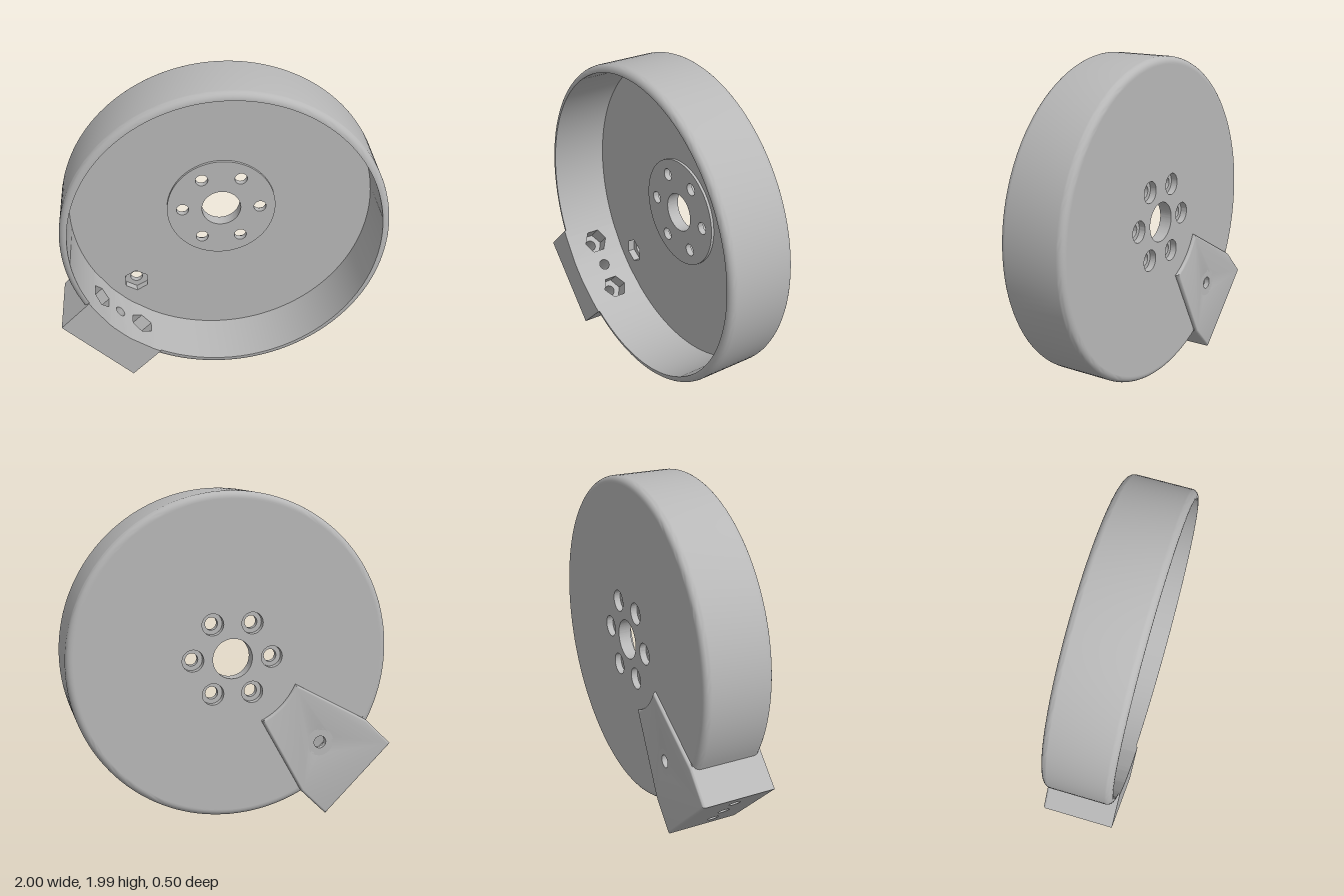
import * as THREE from 'three';
import { toCreasedNormals } from 'three/addons/utils/BufferGeometryUtils.js';

const R_OUT = 0.975, R_IN = 0.93;         // drum wall
const BACK = -0.21, FRONT = 0.21;         // drum faces
const HALF = 0.297, END = 1.138;          // bracket half width and outer end
const NUT = 0.774;                        // radial place of the plate bolt

const grey = new THREE.MeshStandardMaterial({ color: 0xb8b8b8 });
grey.name = 'grey';

function add(parent, name, geometry, crease = 0.5) {
  const mesh = new THREE.Mesh(toCreasedNormals(geometry, crease), grey);
  mesh.name = name;
  parent.add(mesh);
  return mesh;
}

const circle = (x, y, r, P = THREE.Path) => new P().absarc(x, y, r, 0, Math.PI * 2, false);

function hexagon(x, y, r) {
  const points = [];
  for (let i = 0; i < 6; i++) {
    const a = Math.PI / 2 + i * Math.PI / 3;
    points.push(new THREE.Vector2(x + r * Math.cos(a), y + r * Math.sin(a)));
  }
  return new THREE.Path(points);
}

// Round slab between two z levels with holes
function slab(radius, z0, z1, holes) {
  const shape = circle(0, 0, radius, THREE.Shape);
  shape.holes.push(...holes);
  const g = new THREE.ExtrudeGeometry(shape, { depth: z1 - z0, bevelEnabled: false, curveSegments: 64 });
  return g.translate(0, 0, z0);
}

const boltRing = (r) => Array.from({ length: 6 }, (_, i) =>
  circle(0.24 * Math.cos(i * Math.PI / 3), 0.24 * Math.sin(i * Math.PI / 3), r));

// Slice of the bracket block, extruded radially; its inner end can follow the drum wall
function slice(t0, t1, y0, y1, curved, hole) {
  const shape = new THREE.Shape([
    new THREE.Vector2(t0, -0.22), new THREE.Vector2(t1, -0.22),
    new THREE.Vector2(t1, 0.212), new THREE.Vector2(t0, 0.212)]);
  if (hole) shape.holes.push(hole);
  const g = new THREE.ExtrudeGeometry(shape, { depth: y1 - y0, bevelEnabled: false, curveSegments: 12 });
  g.rotateX(-Math.PI / 2).translate(0, y0, 0);
  const p = g.attributes.position;
  for (let i = 0; curved && i < p.count; i++) {
    if (p.getY(i) < y0 + 0.001) p.setY(i, Math.sqrt(R_IN * R_IN - p.getX(i) ** 2));
  }
  g.computeVertexNormals();
  return g;
}

function buildDrum() {
  const drum = new THREE.Group();
  drum.name = 'drum';

  // Wall with rounded outer edges, left open where the bracket block passes through
  const profile = [new THREE.Vector2(R_IN, BACK)];
  const fillet = (z, from) => {
    for (let i = 0; i <= 6; i++) {
      const a = from + i * Math.PI / 12;
      profile.push(new THREE.Vector2(R_OUT - 0.04 + 0.04 * Math.cos(a), z + 0.04 * Math.sin(a)));
    }
  };
  fillet(BACK + 0.04, -Math.PI / 2);
  fillet(FRONT - 0.04, 0);
  profile.push(new THREE.Vector2(R_IN, FRONT), new THREE.Vector2(R_IN, -0.16));
  const cut = Math.asin(HALF / R_OUT);
  const wall = new THREE.LatheGeometry(profile, 128, -Math.PI / 4 + cut, Math.PI * 2 - 2 * cut);
  add(drum, 'wall', wall.rotateX(Math.PI / 2), 0.6);

  // Floor: counterbored back layer, front layer and raised hub
  const nutPocket = () => hexagon(-NUT * Math.SQRT1_2, -NUT * Math.SQRT1_2, 0.08);
  const bore = () => circle(0, 0, 0.12);
  add(drum, 'floorBack', slab(0.935, BACK, -0.17, [bore(), ...boltRing(0.065), nutPocket()]));
  add(drum, 'floorFront', slab(0.935, -0.17, -0.15, [bore(), ...boltRing(0.038), nutPocket()]));
  add(drum, 'hub', slab(0.335, -0.15, -0.133, [bore(), ...boltRing(0.038)]));
  return drum;
}

function buildBracket() {
  const bracket = new THREE.Group();      // local y points radially outward
  bracket.name = 'bracket';

  // Block in slices: solid strips, a centre hole and two nut pockets
  for (const [a, b] of [[0.25, HALF], [0.05, 0.09]]) {
    add(bracket, 'blockStrip', slice(a, b, R_IN, END, true));
    add(bracket, 'blockStrip', slice(-b, -a, R_IN, END, true));
  }
  add(bracket, 'blockCentre', slice(-0.05, 0.05, R_IN, END, true, circle(0, -0.02, 0.035)));
  for (const s of [-1, 1]) {
    const t0 = s * 0.17 - 0.08, t1 = s * 0.17 + 0.08;
    add(bracket, 'nutPocket', slice(t0, t1, R_IN, 1.02, true, hexagon(s * 0.17, -0.02, 0.078)));
    add(bracket, 'boltHole', slice(t0, t1, 1.02, END, false, circle(s * 0.17, -0.02, 0.035)));
  }

  // Tapered back plate with soft edges and an arc end around the hub
  const plate = new THREE.Shape();
  plate.moveTo(HALF, END);
  plate.lineTo(-HALF, END);
  plate.lineTo(-HALF, 0.91);
  plate.lineTo(-0.15, 0.4);
  plate.absarc(0, 0, 0.427, Math.atan2(0.4, -0.15), Math.atan2(0.4, 0.15), true);
  plate.lineTo(HALF, 0.91);
  plate.holes.push(circle(0, NUT, 0.06));
  const b = 0.015;
  const g = new THREE.ExtrudeGeometry(plate, {
    depth: 0.005, bevelThickness: b, bevelSize: b, bevelOffset: -b, bevelSegments: 4, curveSegments: 16 });
  add(bracket, 'backPlate', g.translate(0, 0, -0.23 + b));

  // Ring that lines the plate bolt hole
  const ring = slab(0.085, -0.23, -0.195, [circle(0, 0, 0.038)]);
  add(bracket, 'plateBoltHole', ring.translate(0, NUT, 0));

  bracket.rotation.z = Math.PI * 0.75;
  return bracket;
}

export function createModel() {
  const model = new THREE.Group();
  model.name = 'drumCover';
  const body = new THREE.Group();
  body.name = 'body';
  body.add(buildDrum(), buildBracket());
  body.position.set(0.02, 1.015, 0.01);
  body.rotation.y = -0.029;               // slight turn of the whole part
  model.add(body);
  return model;
}
